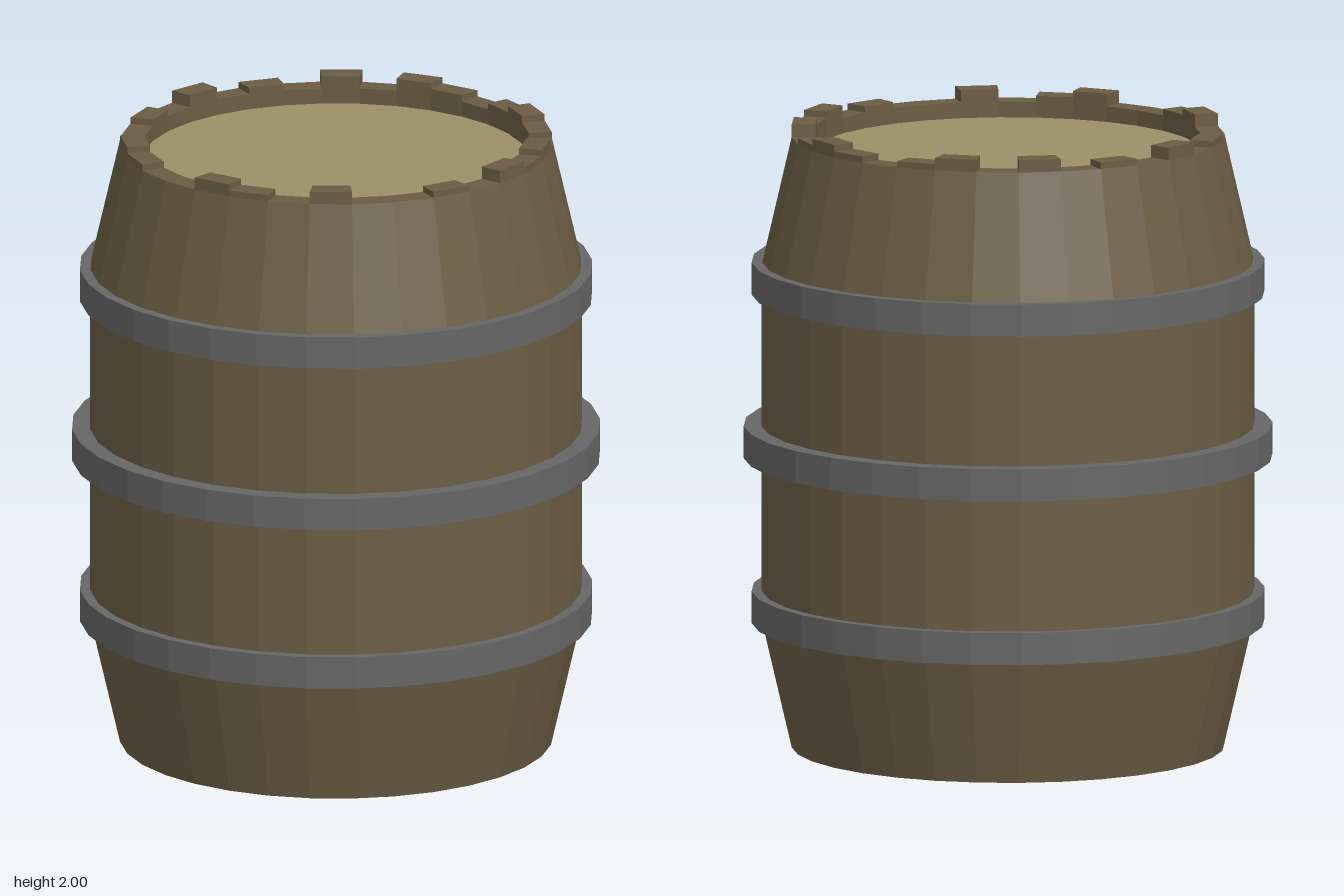
import * as THREE from 'three';

const SIDES = 32;
const R_IN = 0.61, R_END = 0.685, R_MID = 0.78;
const RIM = 1.96;

const material = (color) => new THREE.MeshStandardMaterial({ color, flatShading: true });

// Solid ring from a closed profile of [radius, height] pairs
function ring(name, profile, mat) {
  const points = [...profile, profile[0]].map(([r, y]) => new THREE.Vector2(r, y));
  const mesh = new THREE.Mesh(new THREE.LatheGeometry(points, SIDES), mat);
  mesh.name = name;
  return mesh;
}

// Raised end of one stave, standing on the rim
function staveEnd(index, height, mat) {
  const step = (Math.PI * 2) / SIDES;
  const corner = (r, k) => new THREE.Vector2(r * Math.sin(k * step), -r * Math.cos(k * step));
  const shape = new THREE.Shape([
    corner(R_IN, index), corner(R_END, index),
    corner(R_END, index + 1), corner(R_IN, index + 1),
  ]);
  const geometry = new THREE.ExtrudeGeometry(shape, { depth: height, bevelEnabled: false });
  geometry.rotateX(-Math.PI / 2);
  const mesh = new THREE.Mesh(geometry, mat);
  mesh.position.y = RIM;
  mesh.name = 'staveEnd';
  return mesh;
}

export function createModel() {
  const group = new THREE.Group();
  group.name = 'barrel';
  const wood = material(0x6b5d43);
  const paleWood = material(0x9c9067);
  const iron = material(0x666666);

  // Wooden wall: tapered ends, straight middle, hollow inside
  group.add(ring('wall', [
    [R_END, 0], [R_MID, 0.41], [R_MID, 1.55], [R_END, RIM], [R_IN, RIM], [R_IN, 0],
  ], wood));

  // Uneven stave ends: T tall, M middle, L level with the rim
  const heights = { T: 0.04, M: 0.02 };
  const staveEnds = new THREE.Group();
  staveEnds.name = 'staveEnds';
  [...'TMTLMTMLMTLTLMLTLMLLTMLLTMLTLLML'].forEach((h, i) => {
    if (heights[h]) staveEnds.add(staveEnd(i, heights[h], wood));
  });
  group.add(staveEnds);

  // Recessed heads closing both ends
  const heads = new THREE.Mesh(new THREE.CylinderGeometry(R_IN, R_IN, 1.86, SIDES), paleWood);
  heads.position.y = 0.98;
  heads.name = 'heads';
  group.add(heads);

  // Iron hoops, the middle one wider
  for (const [y, r] of [[0.4, 0.812], [0.93, 0.837], [1.455, 0.812]]) {
    group.add(ring('hoop', [[r, y], [r, y + 0.103], [0.76, y + 0.103], [0.76, y]], iron));
  }
  return group;
}
